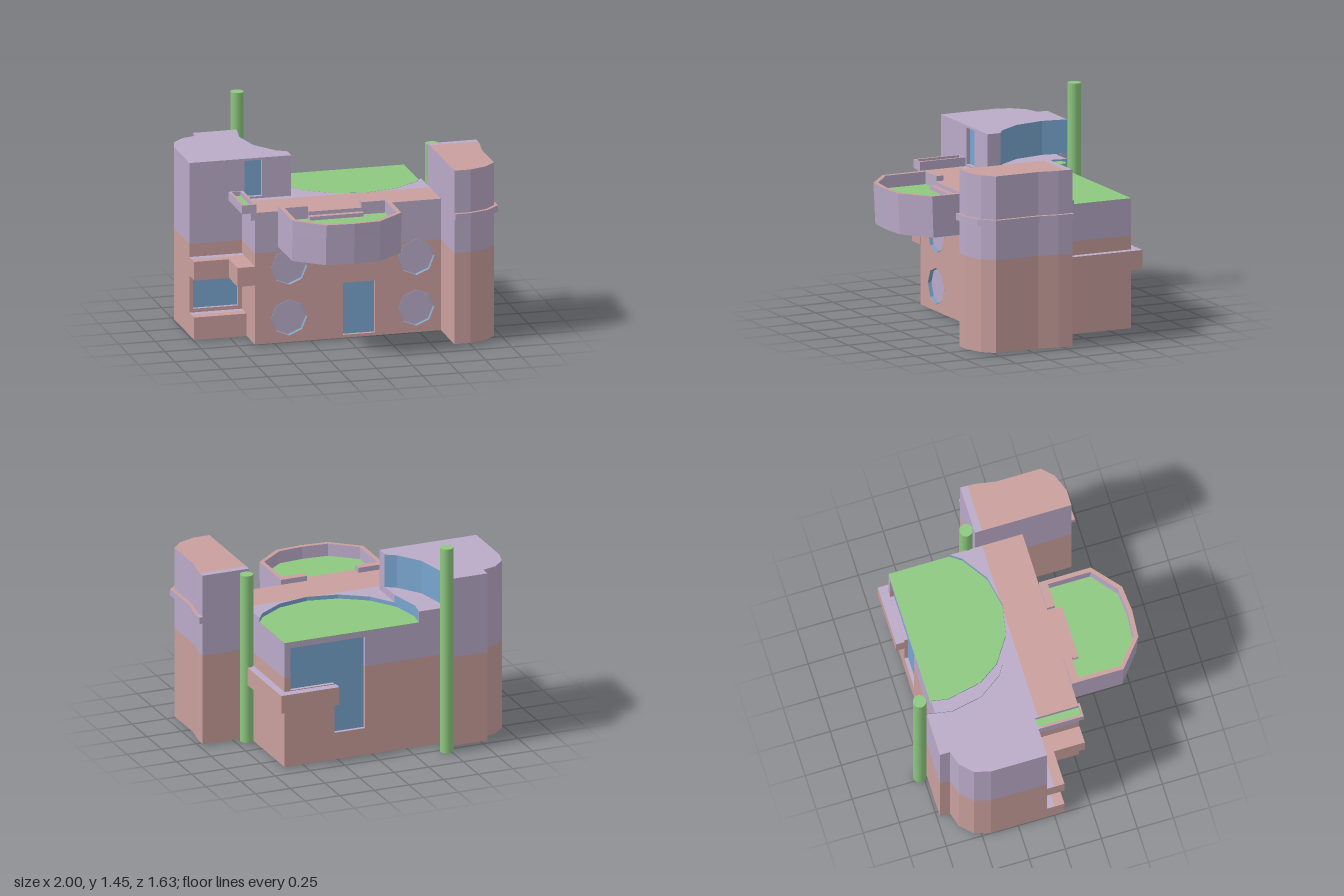
import * as THREE from 'three';

const flat = (name, color, extra = {}) => {
  const m = new THREE.MeshStandardMaterial({ color, ...extra });
  m.name = name;
  return m;
};
const pink = flat('rose', 0xc99f9d);
const lavender = flat('lavender', 0xbaaac8);
const green = flat('green', 0x8ec880);
const blue = flat('blue', 0x78a5ce, { side: THREE.DoubleSide });

// Two-tone paint: walls change colour at y = 0.64, level faces at z = 0.
function paint(geometry) {
  const src = geometry.index ? geometry.toNonIndexed() : geometry;
  const pos = src.attributes.position;
  const tones = [[], []];
  for (let i = 0; i < pos.count; i += 3) {
    const tri = [0, 1, 2].map(k => new THREE.Vector3().fromBufferAttribute(pos, i + k));
    const n = new THREE.Triangle(...tri).getNormal(new THREE.Vector3());
    const level = Math.abs(n.y) > 0.7;
    const dist = p => (level ? p.z : 0.64 - p.y);
    [1, -1].forEach((sign, tone) => {
      const poly = [];
      tri.forEach((a, k) => {
        const b = tri[(k + 1) % 3];
        const da = dist(a) * sign, db = dist(b) * sign;
        if (da >= 0) poly.push(a);
        if (da * db < 0) poly.push(a.clone().lerp(b, da / (da - db)));
      });
      for (let k = 1; k + 1 < poly.length; k++) {
        for (const p of [poly[0], poly[k], poly[k + 1]]) tones[tone].push(p.x, p.y, p.z);
      }
    });
  }
  const out = new THREE.BufferGeometry();
  out.setAttribute('position', new THREE.Float32BufferAttribute([...tones[0], ...tones[1]], 3));
  out.addGroup(0, tones[0].length / 3, 0);
  out.addGroup(tones[0].length / 3, tones[1].length / 3, 1);
  out.computeVertexNormals();
  return out;
}

const shapeOf = (pts, holes = []) => {
  const s = new THREE.Shape(pts.map(p => new THREE.Vector2(...p)));
  s.holes = holes.map(h => new THREE.Path(h.map(p => new THREE.Vector2(...p))));
  return s;
};
const rect = (x0, x1, y0, y1) => [[x0, y0], [x1, y0], [x1, y1], [x0, y1]];
const extrude = (shape, depth) => new THREE.ExtrudeGeometry(shape, { depth, bevelEnabled: false });

// Upright prism over a plan of [x, z] points
const prism = (plan, y0, y1, holes) =>
  extrude(shapeOf(plan, holes), y1 - y0).rotateX(Math.PI / 2).translate(0, y1, 0);

export function createModel() {
  const model = new THREE.Group();
  const add = (name, geometry, material, parent = model) => {
    const m = new THREE.Mesh(geometry, material);
    m.name = name;
    parent.add(m);
    return m;
  };
  const solid = (name, geometry) => add(name, paint(geometry), [pink, lavender]);
  const block = (name, x0, x1, y0, y1, z0, z1) => solid(name, prism(rect(x0, x1, z0, z1), y0, y1));

  // Wall skin with recessed openings; back = true turns it to face -z
  const skin = (name, outline, openings, z, back = false) => {
    const turn = g => (back ? g.rotateY(Math.PI) : g);
    solid(name, turn(extrude(shapeOf(outline, openings.map(o => o.pts)), 0.03).translate(0, 0, z)));
    for (const o of openings) {
      add(o.name, turn(new THREE.ShapeGeometry(shapeOf(o.pts)).translate(0, 0, z + 0.004)), o.mat ?? blue);
    }
  };
  // Thin vertical strip following plan points
  const strip = (name, pts, y0, y1) => {
    const v = [];
    for (let i = 0; i + 1 < pts.length; i++) {
      const [a, b] = [pts[i], pts[i + 1]];
      v.push(a[0], y0, a[1], b[0], y0, b[1], b[0], y1, b[1]);
      v.push(a[0], y0, a[1], b[0], y1, b[1], a[0], y1, a[1]);
    }
    const g = new THREE.BufferGeometry();
    g.setAttribute('position', new THREE.Float32BufferAttribute(v, 3));
    g.computeVertexNormals();
    add(name, g, blue);
  };

  // Main block with front openings
  block('mainBlock', -0.64, 0.64, 0.01, 0.89, -0.62, 0.25);
  const portholes = [];
  for (const x of [-0.405, 0.47]) {
    for (const y of [0.18, 0.53]) {
      const pts = [];
      for (let i = 0; i < 8; i++) {
        const a = i * Math.PI / 4;
        pts.push([x + 0.125 * Math.cos(a), y + 0.125 * Math.sin(a)]);
      }
      portholes.push({ name: 'portholePane', pts, mat: lavender });
      add('portholeReveal', new THREE.CylinderGeometry(0.123, 0.123, 0.029, 8, 1, true)
        .toNonIndexed().rotateX(Math.PI / 2).translate(x, y, 0.265), blue).geometry.computeVertexNormals();
    }
  }
  skin('frontWall', rect(-0.64, 0.64, 0.01, 0.89),
    [...portholes, { name: 'frontDoor', pts: rect(-0.035, 0.185, 0.03, 0.39) }], 0.25);

  // Back wall with L-shaped window (x mirrored because the skin is turned)
  skin('backWall', rect(-0.64, 0.64, 0.01, 0.89), [{
    name: 'backWindow',
    pts: [[-0.6, 0.55], [-0.28, 0.55], [-0.28, 0.2], [-0.06, 0.2], [-0.06, 0.85], [-0.6, 0.85]],
  }], 0.62, true);

  // Roof terrace around a sunken sixteen-sided lawn
  const arc = r => {
    const pts = [[0.64, -0.54 + r * 0.57]];
    for (let i = 2; i <= 7; i++) {
      const a = i * Math.PI / 8;
      pts.push([0.2 + r * Math.cos(a), -0.54 + r * Math.sin(a)]);
    }
    return pts;
  };
  solid('terrace', prism([[-0.64, 0.28], [0.64, 0.28], ...arc(0.55), [-0.64, -0.33]], 0.89, 0.92));
  strip('lawnEdge', arc(0.547), 0.89, 0.92);
  add('lawn', prism([...arc(0.55), [-0.35, -0.54], [-0.33, -0.65], [0.64, -0.65]], 0.887, 0.893), green);

  // Rear tower, cut back in a curve above the lawn
  const towerSide = [[-1, -0.08], [-1, -0.44], [-0.97, -0.55], [-0.89, -0.63], [-0.79, -0.66], [-0.79, -0.73]];
  const lowCut = [[-0.33, -0.65], [-0.35, -0.54], [-0.308, -0.33], [-0.3, -0.31]];
  const highCut = [[-0.49, -0.73], [-0.52, -0.56], [-0.48, -0.35], [-0.37, -0.19], [-0.3, -0.145]];
  solid('towerBase', prism([...towerSide, [-0.49, -0.73], [-0.49, -0.65], ...lowCut, [-0.3, -0.08]], 0.01, 0.97));
  solid('towerTop', prism([...towerSide, ...highCut, [-0.3, -0.08]], 0.97, 1.2));
  const nudge = pts => pts.map(([x, z]) => [x + 0.003, z]);
  strip('lowCurvedGlass', nudge(lowCut), 0.89, 0.97);
  strip('highCurvedGlass', nudge(highCut), 0.97, 1.2);
  skin('towerFront', [[-1, 0.01], [-0.64, 0.01], [-0.64, 0.92], [-0.3, 0.92], [-0.3, 1.2], [-1, 1.2]], [
    { name: 'towerWindow', pts: rect(-0.975, -0.665, 0.19, 0.39) },
    { name: 'terraceDoor', pts: rect(-0.62, -0.5, 0.935, 1.185) },
  ], -0.08);

  // Ledges
  block('towerLowLedge', -1, -0.64, 0.01, 0.165, -0.05, 0.07);
  const towerLedge = [[-1, -0.05], [-0.64, -0.05], [-0.64, 0.285], [-0.76, 0.285], [-0.76, 0.07], [-1, 0.07]];
  solid('towerHighLedge', prism(towerLedge, 0.42, 0.55));
  const cornerLedge = [[0.27, -0.71], [0.69, -0.71], [0.69, -0.08], [0.64, -0.08], [0.64, -0.65], [0.27, -0.65]];
  solid('cornerLedge', prism(cornerLedge, 0.42, 0.545));

  // Planter on the terrace edge
  solid('planter', prism(rect(-0.73, -0.632, -0.05, 0.287), 0.92, 0.98, [rect(-0.712, -0.65, -0.04, 0.275)]));
  block('planterBracket', -0.67, -0.64, 0.87, 0.92, -0.05, 0.287);
  add('planterGrass', prism(rect(-0.712, -0.65, -0.04, 0.275), 0.922, 0.95), green);

  // Corner tower with band
  const bay = [[0.64, -0.05], [0.975, -0.05], [0.97, 0.05], [0.945, 0.19], [0.945, 0.5], [0.87, 0.575], [0.75, 0.62], [0.64, 0.62]];
  const band = [[0.64, -0.05], [1, -0.05], [0.995, 0.06], [0.97, 0.19], [0.97, 0.51], [0.875, 0.6], [0.75, 0.64], [0.64, 0.645]];
  solid('cornerTower', prism(bay, 0.01, 1.21));
  solid('cornerTowerBand', prism(band, 0.87, 0.915));

  // Balcony: slightly tapered tub, raised rim with an entry gap, and steps
  const tub = [[-0.48, 0.28], [-0.48, 0.64], [-0.29, 0.8], [-0.1, 0.815], [0.08, 0.8], [0.27, 0.64], [0.27, 0.28]];
  const well = [[0.24, 0.335], [0.24, 0.63], [0.07, 0.77], [-0.1, 0.785], [-0.28, 0.77], [-0.45, 0.63], [-0.45, 0.335]];
  const taper = g => {
    const p = g.attributes.position;
    for (let i = 0; i < p.count; i++) {
      const z = p.getZ(i);
      p.setZ(i, z - 0.1 * (0.955 - p.getY(i)) * (z - 0.28));
    }
    return g;
  };
  solid('balconyBase', taper(prism(tub, 0.675, 0.865)));
  solid('balconyRim', taper(prism([[-0.29, 0.28], ...tub, [0.08, 0.28], [0.08, 0.335], ...well, [-0.29, 0.335]], 0.865, 0.955)));
  add('balconyLawn', prism(well, 0.863, 0.87), green);
  block('balconyUpperStep', -0.29, 0.08, 0.86, 0.92, 0.28, 0.345);
  block('balconyLowerStep', -0.29, 0.08, 0.86, 0.895, 0.345, 0.385);

  // Freestanding poles
  for (const [name, x, z, y0, y1] of [['tallPole', -0.475, -0.775, 0, 1.45], ['shortPole', 0.68, -0.1, 0.01, 1.195]]) {
    add(name, new THREE.CylinderGeometry(0.045, 0.045, y1 - y0, 16).translate(x, (y0 + y1) / 2, z), green);
  }
  return model;
}
